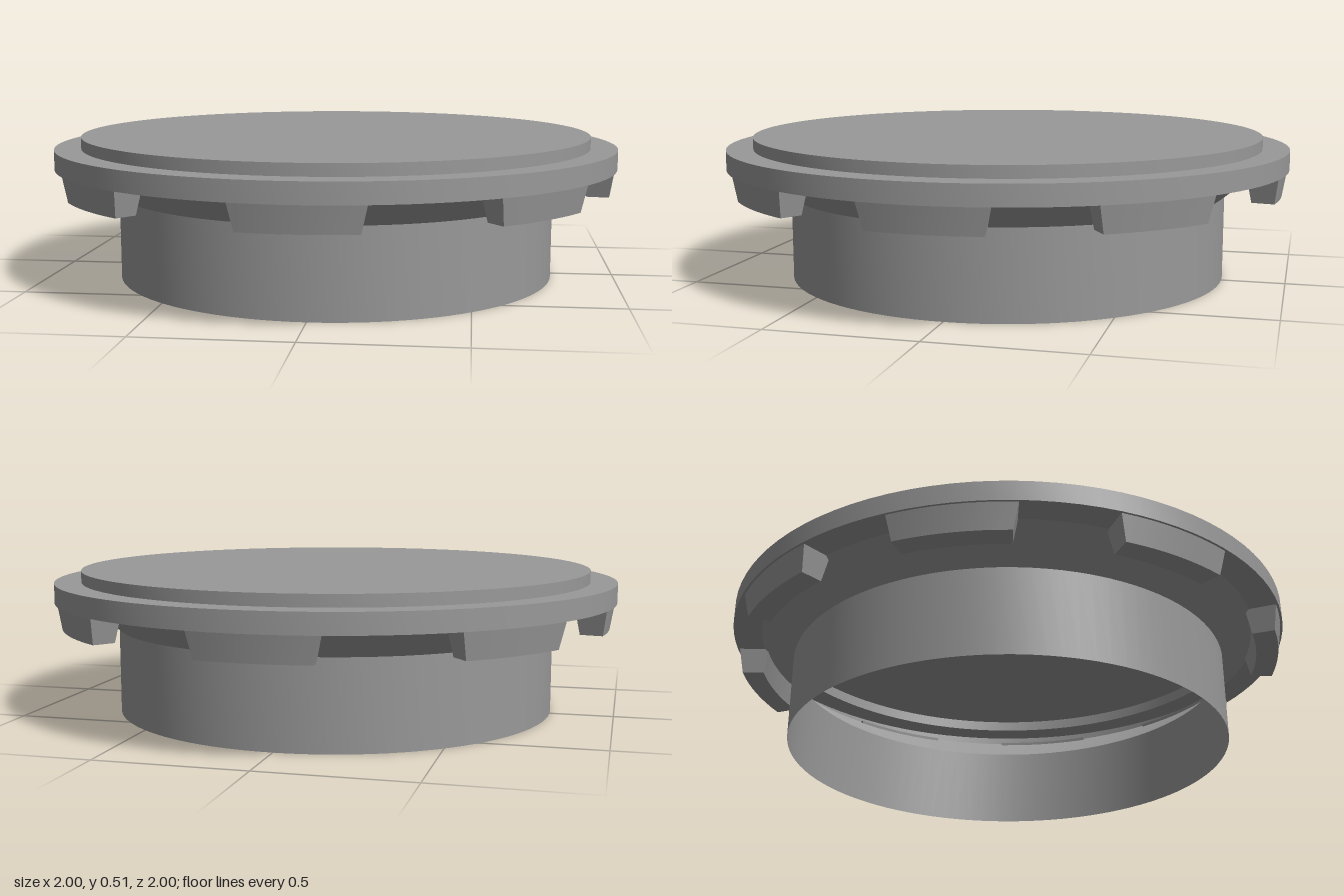
import * as THREE from 'three';
import { toCreasedNormals } from 'three/addons/utils/BufferGeometryUtils.js';

const material = new THREE.MeshStandardMaterial({ color: 0x999999, side: THREE.DoubleSide });

// Thin turned shell from a profile of [radius, y] points, with sharp corners
function turned(name, profile) {
  const points = profile.map(([r, y]) => new THREE.Vector2(r, y));
  const mesh = new THREE.Mesh(toCreasedNormals(new THREE.LatheGeometry(points, 96), 0.5), material);
  mesh.name = name;
  return mesh;
}

// Curved, tapered grip block: a box bent around the y axis
function gripTab() {
  const geometry = new THREE.BoxGeometry(1, 1, 1, 8, 1, 1);
  const pos = geometry.attributes.position;
  for (let i = 0; i < pos.count; i++) {
    const top = pos.getY(i) > 0;
    const outer = pos.getZ(i) > 0;
    const angle = pos.getX(i) * (top ? 0.415 : 0.38);
    const radius = outer ? (top ? 0.992 : 0.977) : (top ? 0.885 : 0.9);
    pos.setXYZ(i, Math.sin(angle) * radius, top ? 0.398 : 0.309, Math.cos(angle) * radius);
  }
  geometry.computeVertexNormals();
  return geometry;
}

export function createModel() {
  const model = new THREE.Group();
  model.name = 'cap';

  // Open collar, flaring out to the underside of the rim
  model.add(turned('collar', [[0.78, 0], [0.78, 0.3]]));
  model.add(turned('flare', [[0.78, 0.3], [0.9, 0.398]]));

  // Hollow rim band and the raised lid
  model.add(turned('rim', [[0.9, 0.398], [1, 0.398], [1, 0.466], [0.907, 0.466]]));
  model.add(turned('lid', [[0.907, 0.466], [0.907, 0.506], [0, 0.506]]));

  // Eight tabs under the rim; the diagonal ones sit slightly towards the sides
  const tabs = new THREE.Group();
  tabs.name = 'gripTabs';
  const geometry = gripTab();
  for (const degrees of [0, 48, 90, 132, 180, 228, 270, 312]) {
    const tab = new THREE.Mesh(geometry, material);
    tab.name = 'gripTab';
    tab.rotation.y = THREE.MathUtils.degToRad(degrees);
    tabs.add(tab);
  }
  model.add(tabs);
  return model;
}
